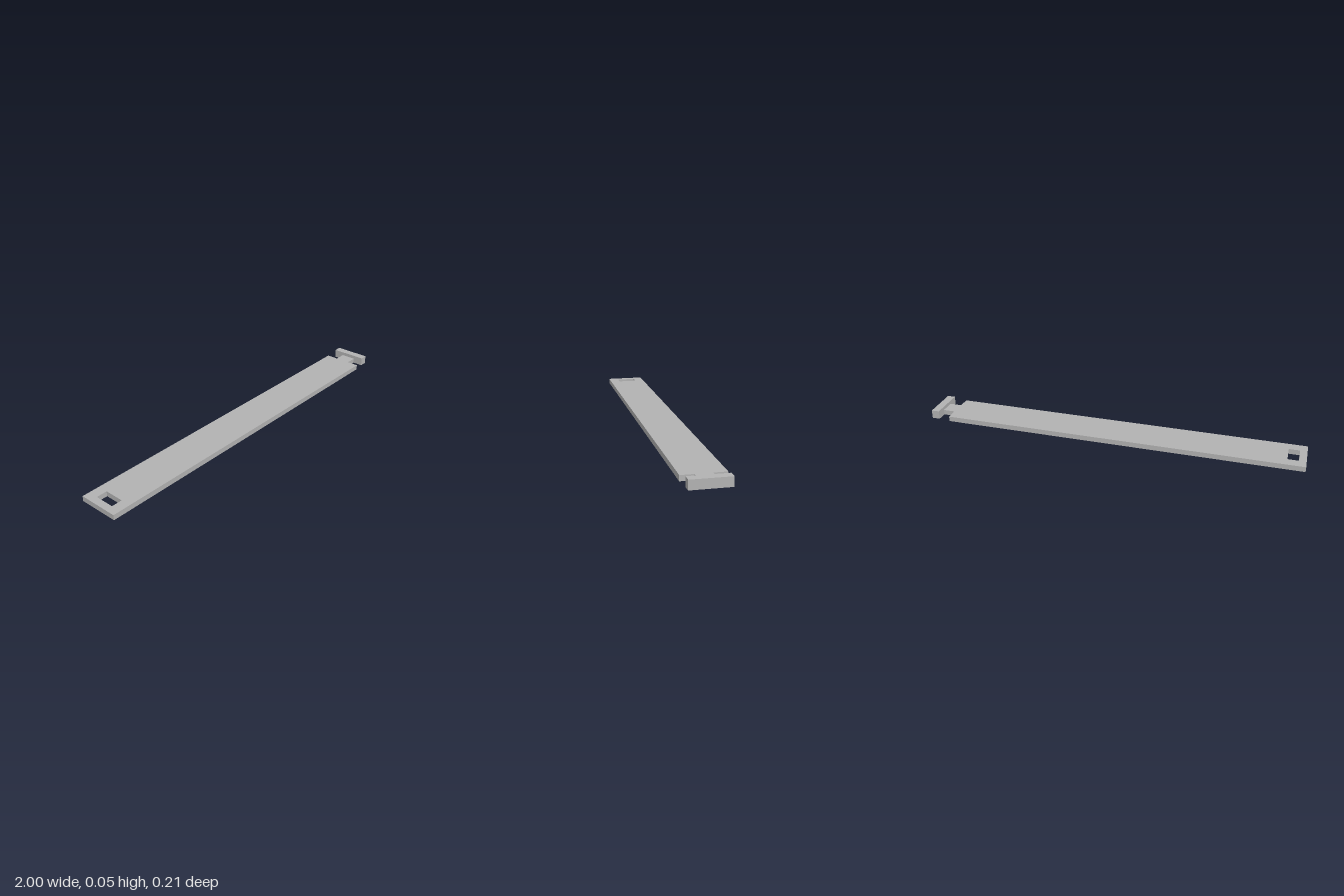
import * as THREE from 'three';

const PLATE_HEIGHT = 0.027;
const HEAD_HEIGHT = 0.045;
const HALF_WIDTH = 0.104;
const NECK_HALF = 0.04;
const SHOULDER_X = 0.893;
const HEAD_X = 0.958;

// Closed rectangle path helper
function rectangle(path, x0, x1, half) {
  path.moveTo(x0, -half);
  path.lineTo(x1, -half);
  path.lineTo(x1, half);
  path.lineTo(x0, half);
  path.closePath();
  return path;
}

// Flat outline in x/z, raised up from the ground
function slab(shape, height) {
  const geometry = new THREE.ExtrudeGeometry(shape, { depth: height, bevelEnabled: false });
  geometry.rotateX(-Math.PI / 2);
  return geometry;
}

export function createModel() {
  const group = new THREE.Group();
  group.name = 'lockingStrap';
  const grey = new THREE.MeshStandardMaterial({ color: 0xb2b2b2 });
  grey.name = 'plainGrey';

  const add = (name, geometry) => {
    const mesh = new THREE.Mesh(geometry, grey);
    mesh.name = name;
    group.add(mesh);
  };

  // Long strap with the narrow neck in one outline, and a slot at the far end
  const outline = new THREE.Shape([
    [-1, -HALF_WIDTH], [SHOULDER_X, -HALF_WIDTH],
    [SHOULDER_X, -NECK_HALF], [HEAD_X, -NECK_HALF],
    [HEAD_X, NECK_HALF], [SHOULDER_X, NECK_HALF],
    [SHOULDER_X, HALF_WIDTH], [-1, HALF_WIDTH],
  ].map(([x, y]) => new THREE.Vector2(x, y)));
  outline.holes.push(rectangle(new THREE.Path(), -0.963, -0.908, 0.051));
  add('strapAndNeck', slab(outline, PLATE_HEIGHT));

  // Taller crossbar that locks into a slot
  add('crossbar', slab(rectangle(new THREE.Shape(), HEAD_X, 1, 0.095), HEAD_HEIGHT));

  return group;
}
